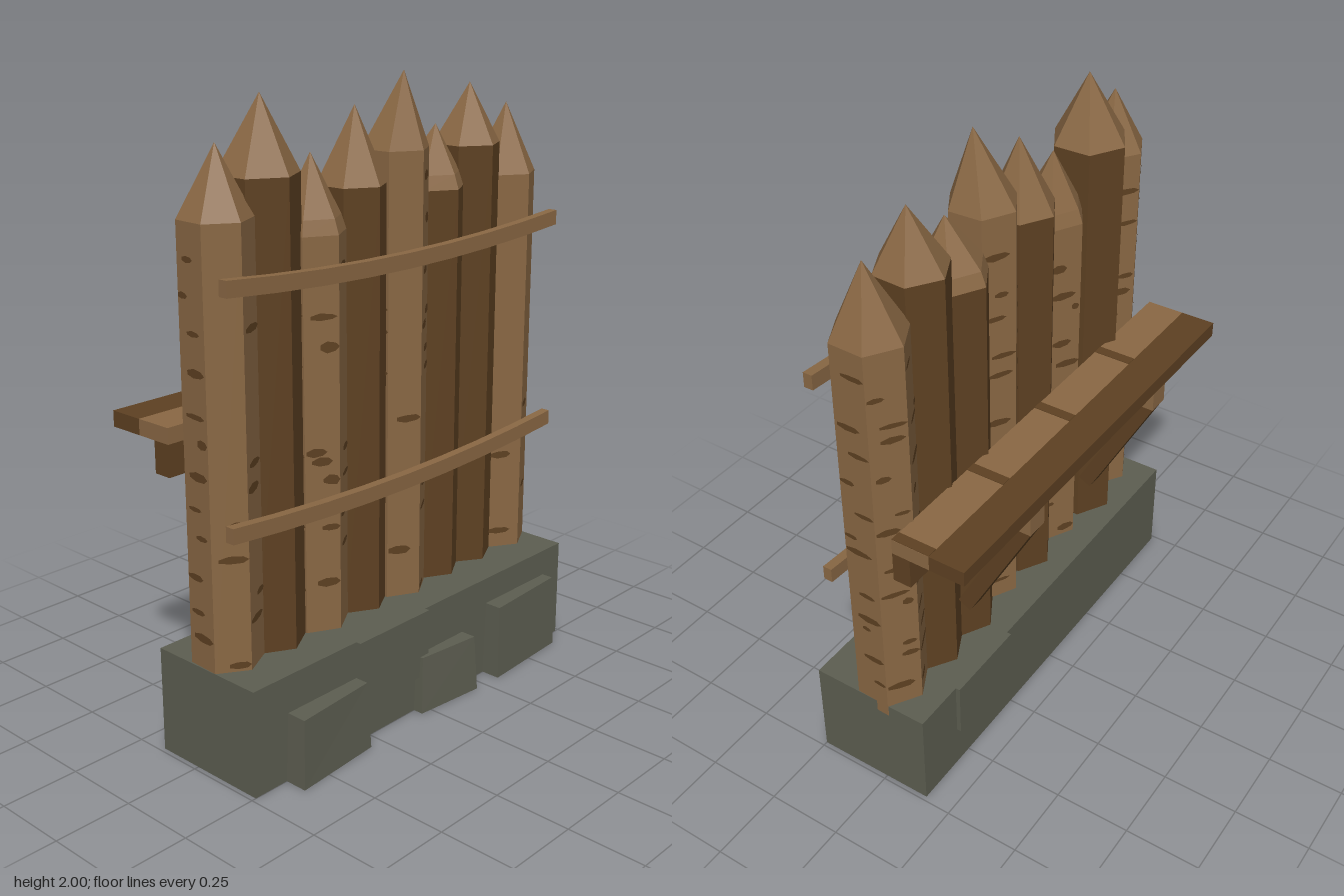
import * as THREE from 'three';
import { mergeGeometries } from 'three/addons/utils/BufferGeometryUtils.js';

const mat = (name, color) => {
  const m = new THREE.MeshStandardMaterial({ color });
  m.name = name;
  return m;
};

// Faceted normals for hewn wood and cut stone
function faceted(geo) {
  const g = geo.index ? geo.toNonIndexed() : geo;
  g.computeVertexNormals();
  return g;
}

export function createModel() {
  const root = new THREE.Group();
  const light = mat('light wood', 0x8a6844);
  const dark = mat('dark wood', 0x5e4122);
  const stone = mat('stone', 0x5d5e51);
  let seed = 7;
  const rnd = () => (seed = (seed * 16807) % 2147483647) / 2147483647;

  const add = (name, geo, material, parent = root) => {
    const m = new THREE.Mesh(geo, material);
    m.name = name;
    parent.add(m);
    return m;
  };
  // Box given by its limits
  const box = (name, material, x0, x1, y0, y1, z0, z1) => {
    const m = add(name, new THREE.BoxGeometry(x1 - x0, y1 - y0, z1 - z0), material);
    m.position.set((x0 + x1) / 2, (y0 + y1) / 2, (z0 + z1) / 2);
    return m;
  };

  // Stone footing with facing stones
  box('footing', stone, -0.735, 0.735, 0, 0.34, -0.155, 0.25);
  box('upperFacingStone', stone, -0.31, 0.01, 0.12, 0.34, 0.2, 0.267);
  box('backFacingStone', stone, 0.27, 0.56, 0.15, 0.34, -0.17, -0.1);
  const facingStone = (x0, x1, h, zLeft, zRight) => {
    const g = new THREE.BoxGeometry(x1 - x0, h, 0.1);
    const p = g.attributes.position;
    for (let i = 0; i < p.count; i++) {
      const low = p.getX(i) < 0, top = p.getY(i) > 0, front = p.getZ(i) > 0;
      const x = (low ? x0 : x1) + (top ? (low ? 0.01 : -0.01) : 0);
      p.setXYZ(i, x, top ? h : 0, front ? (low ? zLeft : zRight) - (top ? 0.008 : 0) : 0.2);
    }
    add('facingStone', faceted(g), stone);
  };
  facingStone(-0.61, -0.3, 0.22, 0.325, 0.303);
  facingStone(-0.04, 0.21, 0.19, 0.285, 0.31);
  facingStone(0.315, 0.655, 0.25, 0.315, 0.297);

  // Ragged flat bark mark on one face of a six-sided log of radius r
  const barkMark = (r, face, u, y, w, h) => {
    const s = new THREE.Shape();
    for (let k = 0; k < 7; k++) {
      const a = (k / 7) * Math.PI * 2, ragged = 0.8 + rnd() * 0.4;
      const px = (Math.cos(a) * w) / 2, py = (Math.sin(a) * h * ragged) / 2;
      if (k) s.lineTo(px, py);
      else s.moveTo(px, py);
    }
    const limit = Math.max(0, r / 2 - w / 2);
    const g = new THREE.ShapeGeometry(s);
    g.translate(THREE.MathUtils.clamp(u, -limit, limit), y, r * 0.866 + 0.002);
    return g.rotateY(((face * 60 + 30) * Math.PI) / 180);
  };

  // One sharpened log; marks are bark heights on its two front faces
  const makeLog = (x, z, r, shoulder, tip, { lean = 0, collar = false, marks = null } = {}) => {
    const log = new THREE.Group();
    log.name = 'log';
    log.position.set(x, 0, z);
    log.rotation.y = (rnd() - 0.5) * 0.1;
    root.add(log);
    const bottom = 0.3, len = shoulder - bottom;
    add('logBody', faceted(new THREE.CylinderGeometry(r, r, len, 6)), marks ? light : dark, log)
      .position.y = bottom + len / 2;

    // Point, with a bevelled collar below on some logs
    const y0 = collar ? shoulder + 0.045 : shoulder;
    const r0 = collar ? r * 0.86 : r;
    if (collar) {
      add('collar', faceted(new THREE.CylinderGeometry(r0, r, 0.045, 6, 1, true)), light, log)
        .position.y = shoulder + 0.0225;
    }
    const point = new THREE.ConeGeometry(r0, tip - y0, 6);
    const p = point.attributes.position;
    for (let k = 0; k < p.count; k++) {
      if (p.getY(k) > 0) p.setXYZ(k, 0.012, p.getY(k), lean);
    }
    add('logPoint', faceted(point), light, log).position.y = (y0 + tip) / 2;

    // Bark marks: chosen heights in front, scattered on the other faces
    if (!marks) return;
    const plates = [];
    marks.forEach((heights, side) => {
      for (const y of heights) {
        plates.push(barkMark(r, side ? 0 : 5, (rnd() - 0.5) * r, y, r * (0.5 + rnd() * 0.45), 0.02 + rnd() * 0.014));
      }
    });
    for (let face = 1; face < 5; face++) {
      for (let k = 0; k < 12; k++) {
        const y = 0.37 + ((k + rnd() * 0.8) / 12) * (shoulder - 0.42);
        plates.push(barkMark(r, face, (rnd() - 0.5) * r, y, r * (0.2 + rnd() * 0.75), 0.015 + rnd() * 0.015));
      }
    }
    add('barkMarks', mergeGeometries(plates), dark, log);
  };

  makeLog(-0.638, 0.04, 0.108, 1.65, 1.85, {
    lean: -0.01, marks: [[0.36, 0.69, 0.79], [0.49, 0.56, 0.89, 0.96, 1.35]],
  });
  makeLog(-0.463, 0.023, 0.124, 1.75, 1.97);
  makeLog(-0.275, 0.04, 0.109, 1.565, 1.79, {
    lean: -0.01, collar: true,
    marks: [[0.5, 0.68, 0.83, 0.89, 0.92, 1.24, 1.33], [0.61, 0.71, 0.83, 0.91, 1.47]],
  });
  makeLog(-0.09, 0.03, 0.112, 1.68, 1.91);
  makeLog(0.085, 0.045, 0.11, 1.77, 2, {
    lean: 0.022, marks: [[0.5, 0.94], [0.36, 0.63, 0.71, 1.09, 1.15, 1.23, 1.27, 1.4, 1.56, 1.69]],
  });
  makeLog(0.272, 0.025, 0.115, 1.63, 1.825, { lean: 0.01, collar: true });
  makeLog(0.45, 0.025, 0.113, 1.75, 1.94);
  makeLog(0.635, 0.03, 0.115, 1.64, 1.865, { marks: [[0.4, 0.68], [0.55, 0.85]] });

  // Sagging front rails
  for (const endY of [1.49, 0.793]) {
    const g = new THREE.BoxGeometry(1.47, 0.048, 0.03, 8, 1, 1);
    const p = g.attributes.position;
    for (let i = 0; i < p.count; i++) {
      p.setY(i, p.getY(i) - 0.035 * (1 - (p.getX(i) / 0.735) ** 2));
    }
    add('rail', faceted(g), light).position.set(0, endY, 0.17);
  }

  // Rear walkway
  box('walkwayPlank', light, -0.735, 0.735, 1, 1.05, -0.207, -0.08);
  box('walkwayEdge', dark, -0.735, 0.735, 1, 1.05, -0.325, -0.207);
  box('wallBeam', dark, -0.735, 0.735, 0.9, 1, -0.14, -0.08);
  for (let i = 0; i < 4; i++) {
    const x = -0.402 + i * 0.367;
    box('plankGap', dark, x, x + 0.035, 1.047, 1.052, -0.207, -0.08);
  }

  // Joists and diagonal struts under the walkway
  for (const x of [-0.37, 0.36]) {
    box('joist', light, x - 0.037, x + 0.037, 0.93, 1, -0.322, -0.1);
    const y0 = 0.52, y1 = 0.935, z0 = -0.075, z1 = -0.295;
    const strut = box('strut', dark, x - 0.032, x + 0.032, 0, Math.hypot(y1 - y0, z1 - z0), -0.025, 0.025);
    strut.position.set(x, (y0 + y1) / 2, (z0 + z1) / 2);
    strut.rotation.x = Math.atan2(z1 - z0, y1 - y0);
  }
  return root;
}
